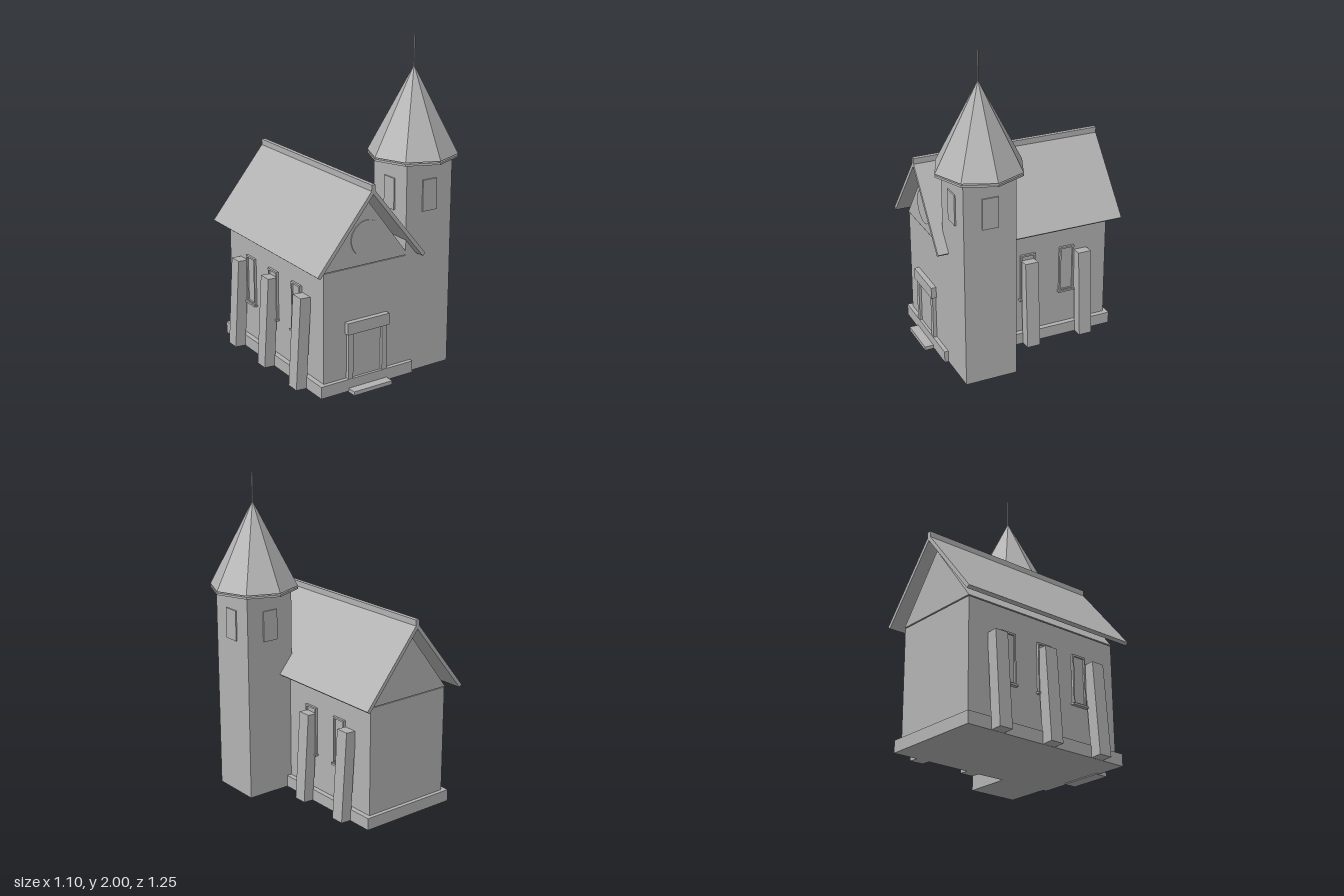
import * as THREE from 'three';

export function createModel() {
  const root = new THREE.Group();
  root.name = 'chapel';
  const stone = new THREE.MeshStandardMaterial({ color: 0xb3b3b3, flatShading: true });
  stone.name = 'grey stone';

  const CX = -0.16, HALF = 0.29;           // nave centre line and half width
  const FRONT = 0.525, BACK = -0.56;       // nave end walls
  const TX = 0.28, TZ = 0.3625, TW = 0.325; // tower centre and width
  const BASE = 0.006;

  const add = (name, geo, parent = root) => {
    const m = new THREE.Mesh(geo, stone);
    m.name = name;
    parent.add(m);
    return m;
  };
  // box given by its limits
  const box = (name, x0, x1, y0, y1, z0, z1, parent) => {
    const m = add(name, new THREE.BoxGeometry(x1 - x0, y1 - y0, z1 - z0), parent);
    m.position.set((x0 + x1) / 2, (y0 + y1) / 2, (z0 + z1) / 2);
    return m;
  };
  // outline in x and y, extruded from z0 to z1
  const prism = (name, pts, z0, z1, holePts) => {
    const s = new THREE.Shape(pts.map(p => new THREE.Vector2(...p)));
    if (holePts) s.holes.push(new THREE.Path(holePts.map(p => new THREE.Vector2(...p))));
    const g = new THREE.ExtrudeGeometry(s, { depth: z1 - z0, bevelEnabled: false });
    g.translate(0, 0, z0);
    return add(name, g);
  };

  // nave, plinth and gable
  box('naveWalls', CX - HALF, CX + HALF, BASE, 0.752, BACK, FRONT);
  box('plinth', CX - 0.322, CX + 0.322, BASE, 0.08, BACK - 0.025, FRONT + 0.025);
  prism('gable', [[CX - HALF - 0.003, 0.757], [CX + HALF + 0.003, 0.757], [CX, 1.14]], BACK - 0.003, FRONT + 0.003);
  box('gableBase', CX - HALF + 0.01, CX + HALF - 0.01, 0.75, 0.76, BACK + 0.01, FRONT - 0.01);
  const rose = add('roundWindow', new THREE.CylinderGeometry(0.108, 0.108, 0.016, 40));
  rose.rotation.x = Math.PI / 2;
  rose.position.set(CX, 0.914, FRONT + 0.001);

  // roof slopes and ridge
  for (const s of [-1, 1]) {
    const pts = [[CX, 1.222], [CX + s * 0.37, 0.768], [CX + s * 0.352, 0.754], [CX, 1.186]];
    prism(s < 0 ? 'roofRight' : 'roofLeft', pts, -0.625, 0.592);
  }
  box('ridgeCap', CX - 0.013, CX + 0.013, 1.205, 1.242, -0.625, 0.592);

  // tower with a panel on each side
  box('towerWalls', TX - TW / 2, TX + TW / 2, BASE, 1.298, TZ - TW / 2, TZ + TW / 2);
  for (let i = 0; i < 4; i++) {
    const side = new THREE.Group();
    side.name = 'towerWindow';
    side.position.set(TX, 0, TZ);
    side.rotation.y = i * Math.PI / 2;
    box('towerPanel', -0.05, 0.05, 1.0, 1.19, TW / 2 - 0.005, TW / 2 + 0.008, side);
    root.add(side);
  }

  // eight-sided spire above a thin eave slab
  add('spireEave', new THREE.CylinderGeometry(0.268, 0.268, 0.013, 8)).position.set(TX, 1.303, 0.357);
  add('spire', new THREE.ConeGeometry(0.268, 0.512, 8)).position.set(TX, 1.573, 0.357);
  add('finial', new THREE.CylinderGeometry(0.005, 0.005, 0.2, 8)).position.set(TX, 1.9, 0.357);

  // entrance
  box('doorStep', CX - 0.134, CX + 0.134, 0, 0.024, FRONT, 0.607);
  box('door', CX - 0.098, CX + 0.098, 0.07, 0.352, FRONT - 0.01, FRONT + 0.008);
  for (const s of [-1, 1]) {
    const x = CX + s * 0.118;
    box('doorPost', x - 0.017, x + 0.017, 0.07, 0.362, FRONT - 0.01, FRONT + 0.022);
  }
  box('doorLintel', CX - 0.145, CX + 0.145, 0.36, 0.432, FRONT - 0.01, FRONT + 0.032);

  // side windows and leaning buttresses; the tower takes the place of one bay
  for (const s of [-1, 1]) {
    const wall = CX + s * HALF;
    for (const z of s < 0 ? [-0.285, -0.02, 0.245] : [-0.285, -0.02]) {
      const frame = prism('windowFrame',
        [[-0.05, 0.31], [0.05, 0.31], [0.05, 0.61], [-0.05, 0.61]], -0.005, 0.014,
        [[-0.039, 0.318], [-0.039, 0.599], [0.039, 0.599], [0.039, 0.318]]);
      frame.rotation.y = s * Math.PI / 2;
      frame.position.set(wall, 0, z);
      const pane = add('windowPane', new THREE.BoxGeometry(0.008, 0.29, 0.085));
      pane.position.set(wall, 0.46, z);
      const sill = add('windowSill', new THREE.BoxGeometry(0.04, 0.012, 0.116));
      sill.position.set(wall + s * 0.003, 0.306, z);
    }
    for (const z of s < 0 ? [-0.382, -0.02, 0.345] : [-0.382, -0.02]) {
      const b = add('buttress', new THREE.BoxGeometry(0.07, 0.565, 0.086));
      b.position.set(CX + s * 0.338, 0.291, z);
      b.rotation.z = s * 0.062;
    }
  }
  return root;
}
